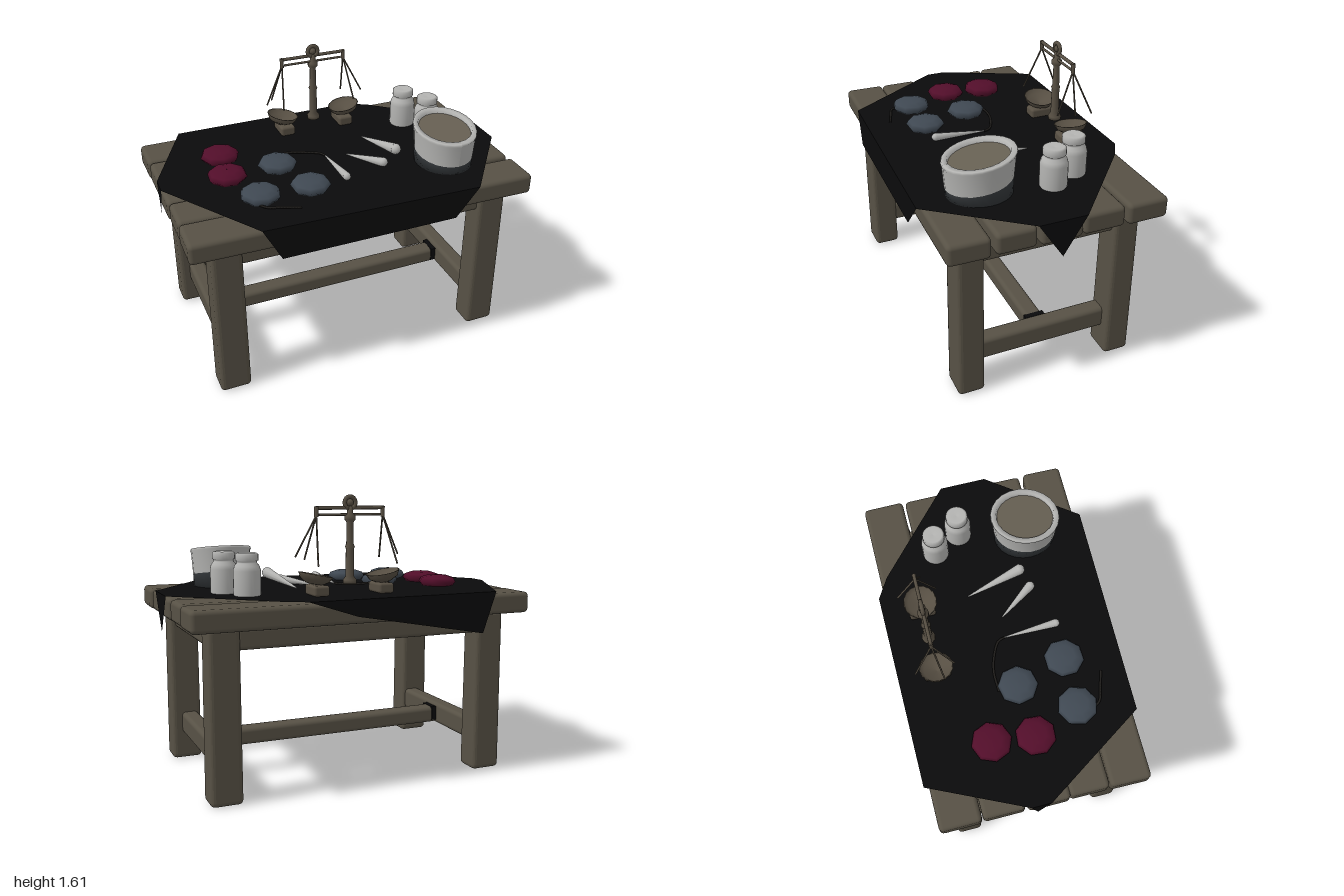
import * as THREE from 'three';
import { RoundedBoxGeometry } from 'three/addons/geometries/RoundedBoxGeometry.js';

const mat = (name, color, side = THREE.FrontSide) => {
  const m = new THREE.MeshStandardMaterial({ color, side });
  m.name = name;
  return m;
};

export function createModel() {
  const model = new THREE.Group();
  const wood = mat('wood', 0x575145);
  const black = mat('black cloth', 0x0a0a0b, THREE.DoubleSide);
  const bronze = mat('bronze', 0x574f43, THREE.DoubleSide);
  const white = mat('white ceramic', 0xb4b4b2, THREE.DoubleSide);
  const slate = mat('dark glaze', 0x35393c);
  const paste = mat('paste', 0x676053);
  const red = mat('crimson', 0x520e2a);
  const blue = mat('slate blue', 0x3f4852);
  const cordMat = mat('cord', 0x1f1d1b);

  const add = (name, geo, material, x = 0, y = 0, z = 0, parent = model) => {
    const m = new THREE.Mesh(geo, material);
    m.name = name;
    m.position.set(x, y, z);
    parent.add(m);
    return m;
  };
  const beam = (name, w, h, d, x, y, z, r = 0.025) =>
    add(name, new RoundedBoxGeometry(w, h, d, 2, r), wood, x, y, z);
  const lathe = (pts, n = 24) =>
    new THREE.LatheGeometry(pts.map(([r, y]) => new THREE.Vector2(r, y)), n);
  const vec = (p) => new THREE.Vector3(...p);
  // Tapered rod between two points
  const rod = (name, a, b, ra, rb, material, parent = model, sides = 8) => {
    const A = vec(a), B = vec(b), d = B.clone().sub(A);
    const m = add(name, new THREE.CylinderGeometry(rb, ra, d.length(), sides), material, 0, 0, 0, parent);
    m.position.copy(A).add(B).multiplyScalar(0.5);
    m.quaternion.setFromUnitVectors(new THREE.Vector3(0, 1, 0), d.normalize());
    return m;
  };

  // Tabletop planks: centre z, depth, length, turn
  [[-0.49, 0.235, 1.98, 0.005], [-0.245, 0.235, 1.97, 0], [0, 0.235, 1.98, 0.004],
    [0.235, 0.22, 1.97, -0.006], [0.475, 0.23, 1.98, -0.018]].forEach(([z, d, len, turn]) => {
    beam('tabletopPlank', len, 0.12, d, -0.005, 0.995, z).rotation.y = turn;
  });

  // Legs, slightly wider at the foot, and frame
  for (const sx of [-1, 1]) {
    for (const sz of [-1, 1]) {
      const leg = new RoundedBoxGeometry(0.175, 0.945, 0.15, 2, 0.025);
      const p = leg.attributes.position;
      for (let i = 0; i < p.count; i++) {
        const s = 1 - 0.04 * (p.getY(i) / 0.945);
        p.setX(i, p.getX(i) * s);
        p.setZ(i, p.getZ(i) * s);
      }
      leg.computeVertexNormals();
      add('leg', leg, wood, sx * 0.79, 0.4725, sz * 0.445);
    }
    beam('endApron', 0.11, 0.12, 0.78, sx * 0.79, 0.878, 0);
    beam('endStretcher', 0.1, 0.13, 0.78, sx * 0.77, 0.225, 0);
    beam('longApron', 1.44, 0.12, 0.1, 0, 0.878, sx * 0.445);
    add('stretcherCollar', new THREE.BoxGeometry(0.03, 0.085, 0.115), black, sx * 0.7, 0.23, 0);
  }
  beam('middleStretcher', 1.46, 0.1, 0.105, 0, 0.22, 0);

  // Cloth: flat top with flaps hanging over each side
  const cloth = new THREE.Group();
  cloth.name = 'cloth';
  model.add(cloth);
  const cy = 1.072;
  const outline = [[-0.75, -0.63], [0.38, -0.64], [0.5, -0.57], [1, -0.13], [1, 0.14],
    [0.62, 0.635], [-0.62, 0.6], [-1, 0.01], [-1, -0.1]];
  const top = new THREE.ShapeGeometry(new THREE.Shape(outline.map(([x, z]) => new THREE.Vector2(x, -z))));
  top.rotateX(-Math.PI / 2);
  add('clothTop', top, black, 0, cy, 0, cloth);
  const flaps = [
    [[-0.62, cy, 0.6], [-0.52, 0.885, 0.61], [0.48, 0.91, 0.64], [0.62, cy, 0.635]],
    [[1, cy, 0.14], [1, 0.86, 0], [1, cy, -0.13]],
    [[0.38, cy, -0.64], [0.1, 0.98, -0.635], [-0.67, 0.84, -0.63], [-0.75, cy, -0.63]],
    [[-1, cy, -0.1], [-1, 0.89, -0.06], [-1, cy, 0.01]],
  ];
  for (const f of flaps) {
    const pos = [];
    for (let i = 1; i < f.length - 1; i++) pos.push(...f[0], ...f[i], ...f[i + 1]);
    const g = new THREE.BufferGeometry();
    g.setAttribute('position', new THREE.Float32BufferAttribute(pos, 3));
    g.computeVertexNormals();
    add('clothFlap', g, black, 0, 0, 0, cloth);
  }

  // Mortar with slanted rim, dark lower glaze and paste inside
  const mortar = new THREE.Group();
  mortar.name = 'mortar';
  mortar.position.set(0.58, 1.07, 0.28);
  model.add(mortar);
  const slant = (g, k) => {
    const p = g.attributes.position;
    for (let i = 0; i < p.count; i++) {
      p.setY(i, p.getY(i) - k * p.getZ(i) * Math.min(1, p.getY(i) / 0.05));
      p.setZ(i, p.getZ(i) * 1.13);
    }
    g.computeVertexNormals();
    return g;
  };
  add('mortarBase', slant(lathe([[0.001, 0], [0.16, 0], [0.163, 0.075]]), 0.16), slate, 0, 0, 0, mortar);
  add('mortarWall', slant(lathe([[0.163, 0.075], [0.172, 0.2], [0.177, 0.21], [0.174, 0.222],
    [0.148, 0.222], [0.142, 0.19]]), 0.16), white, 0, 0, 0, mortar);
  const fill = new THREE.CircleGeometry(0.146, 24).rotateX(-Math.PI / 2).translate(0, 0.2, 0);
  add('mortarPaste', slant(fill, 0.16), paste, 0, 0, 0, mortar);

  // Jars
  for (const [x, z] of [[0.585, -0.255], [0.67, -0.1]]) {
    add('jar', lathe([[0.001, 0], [0.068, 0], [0.075, 0.012], [0.075, 0.14], [0.068, 0.165], [0.054, 0.182],
      [0.054, 0.19], [0.062, 0.195], [0.062, 0.228], [0.05, 0.236], [0.001, 0.23]]), white, x, 1.066, z);
  }

  // Octagonal cakes of pigment
  [[-0.605, -0.22, red], [-0.63, 0.02, red], [-0.33, 0, blue], [-0.525, 0.285, blue],
    [-0.24, 0.29, blue]].forEach(([x, z, m], i) => {
    add('pigmentCake', lathe([[0.001, 0], [0.095, 0], [0.113, 0.022], [0.1, 0.045], [0.06, 0.058],
      [0.001, 0.06]], 8), m, x, 1.073, z).rotation.y = i * 0.3;
  });

  // Brushes: slim at one end, rounded at the other
  for (const [a, b, r] of [
    [[-0.035, 1.085, 0], [-0.03, 1.105, 0.3], 0.023],
    [[0.09, 1.08, 0.02], [0.23, 1.1, 0.22], 0.027],
    [[0.26, 1.085, -0.14], [0.325, 1.145, 0.18], 0.032]]) {
    rod('brush', a, b, 0.004, r, white, model, 10);
    add('brushEnd', new THREE.SphereGeometry(r, 10, 8), white, ...b);
  }

  // Loose cords
  for (const pts of [
    [[-0.035, 1.085, 0], [-0.05, 1.085, -0.04], [-0.13, 1.085, -0.085], [-0.22, 1.09, -0.11], [-0.34, 1.09, -0.11]],
    [[-0.56, 1.08, 0.36], [-0.53, 1.085, 0.41], [-0.45, 1.085, 0.44], [-0.36, 1.08, 0.47]]]) {
    add('cord', new THREE.TubeGeometry(new THREE.CatmullRomCurve3(pts.map(vec)), 16, 0.007, 5), cordMat);
  }

  // Balance scale: post, ring finial, twin beams
  const scale = new THREE.Group();
  scale.name = 'balanceScale';
  scale.position.set(0.053, 0, -0.415);
  model.add(scale);
  add('scalePost', lathe([[0.001, 1.13], [0.038, 1.13], [0.038, 1.15], [0.024, 1.17], [0.022, 1.32], [0.027, 1.33],
    [0.02, 1.345], [0.018, 1.46], [0.03, 1.475], [0.03, 1.495], [0.016, 1.51], [0.016, 1.54], [0.001, 1.55]], 12),
  bronze, 0, 0, 0, scale);
  add('scaleRing', new THREE.TorusGeometry(0.032, 0.012, 8, 16), bronze, 0, 1.565, 0, scale);
  add('scaleFinial', new THREE.SphereGeometry(0.02, 10, 8), bronze, 0, 1.565, 0, scale);
  rod('upperBeam', [-0.2, 1.538, 0], [0.2, 1.538, 0], 0.01, 0.01, bronze, scale);
  rod('lowerBeam', [-0.18, 1.502, 0], [0.18, 1.502, 0], 0.007, 0.007, bronze, scale);

  // Chains and tilted pans on both sides
  for (const s of [-1, 1]) {
    rod('beamEnd', [s * 0.195, 1.545, 0], [s * 0.195, 1.49, 0], 0.012, 0.012, bronze, scale);
    for (const [x, y, z] of [[0.305, 1.28, 0.03], [0.225, 1.26, 0.1], [0.23, 1.24, -0.115]]) {
      rod('chain', [s * 0.195, 1.5, 0], [s * x, y, z], 0.005, 0.005, bronze, scale, 5);
    }
    const pan = add('pan', lathe([[0.001, 0], [0.045, 0.004], [0.08, 0.025], [0.095, 0.055], [0.088, 0.055],
      [0.07, 0.03], [0.001, 0.012]], 16), bronze, s * 0.21, 1.133, 0, scale);
    pan.rotation.z = s * 0.2;
    add('panFoot', new RoundedBoxGeometry(0.09, 0.058, 0.15, 2, 0.015), bronze, s * 0.19, 1.103, 0, scale);
  }
  return model;
}
